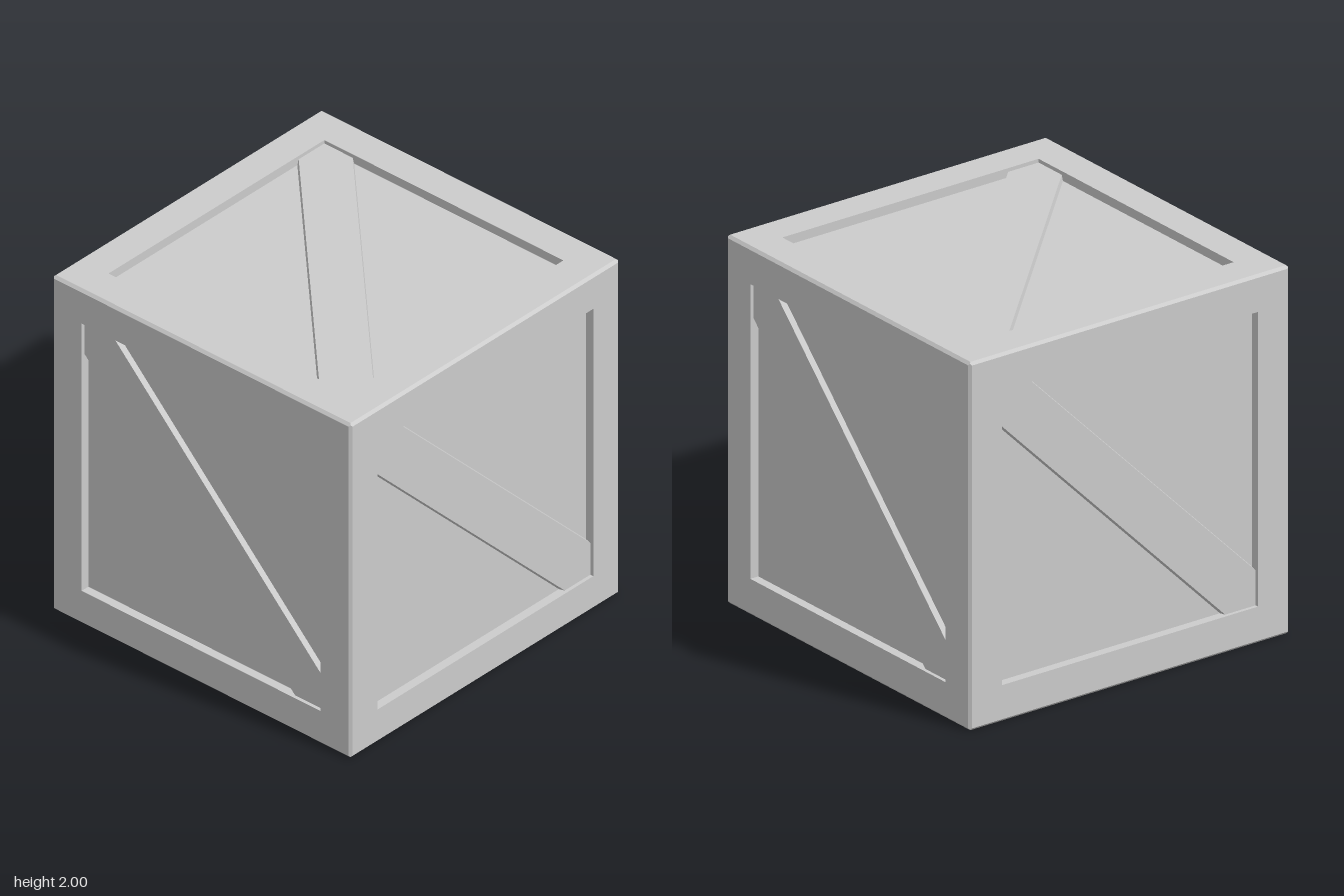
import * as THREE from 'three';

const OPEN = 0.8;     // half width of the recessed opening
const PANEL = 0.95;   // distance of the panel from the crate centre
const BRACE = 0.03;   // brace thickness
const CHAMFER = 0.015;

const material = new THREE.MeshStandardMaterial({ color: 0xcccccc, flatShading: true });

// Square frame with mitred chamfer, opening walls and panel, as a four-sided lathe
function sideGeometry() {
  const mid = 1 - CHAMFER / 2;
  const profile = [
    [mid, mid], [1 - CHAMFER, 1], [OPEN, 1], [OPEN, PANEL], [0, PANEL],
  ].map(([r, y]) => new THREE.Vector2(r * Math.SQRT2, y));
  const geo = new THREE.LatheGeometry(profile, 4, Math.PI / 4).toNonIndexed();
  geo.rotateX(Math.PI / 2); // lathe axis to +z
  geo.computeVertexNormals();
  return geo;
}

// Diagonal board cut to the opening, its long edges sloping slightly inward
function braceGeometry() {
  const a = OPEN, b = 0.6;
  const shape = new THREE.Shape(
    [[-a, a], [-a, b], [b, -a], [a, -a], [a, -b], [-b, a]].map(([x, y]) => new THREE.Vector2(x, y))
  );
  const geo = new THREE.ExtrudeGeometry(shape, { depth: BRACE, bevelEnabled: false });
  const p = geo.attributes.position;
  const slope = (c) => (Math.abs(c) < 0.7 ? c + Math.sign(c) * 0.01 : c);
  for (let i = 0; i < p.count; i++) {
    if (p.getZ(i) > BRACE / 2) p.setXY(i, slope(p.getX(i)), slope(p.getY(i)));
  }
  geo.translate(0, 0, PANEL);
  geo.computeVertexNormals();
  return geo;
}

export function createModel() {
  const crate = new THREE.Group();
  crate.name = 'crate';
  const side = sideGeometry();
  const brace = braceGeometry();

  // name, rotation about x, rotation about y, turn of the brace about the face normal
  const q = Math.PI / 2;
  const faces = [
    ['front', 0, 0, 0],
    ['left', 0, q, 0],
    ['back', 0, 2 * q, 0],
    ['right', 0, -q, 0],
    ['top', -q, 0, q],
    ['bottom', q, 0, q],
  ];
  for (const [name, rx, ry, turn] of faces) {
    const face = new THREE.Group();
    face.name = name + 'Side';
    const frame = new THREE.Mesh(side, material);
    frame.name = name + 'FrameAndPanel';
    const board = new THREE.Mesh(brace, material);
    board.name = name + 'Brace';
    board.rotation.z = turn;
    face.add(frame, board);
    face.rotation.set(rx, ry, 0);
    face.position.y = 1;
    crate.add(face);
  }
  return crate;
}
